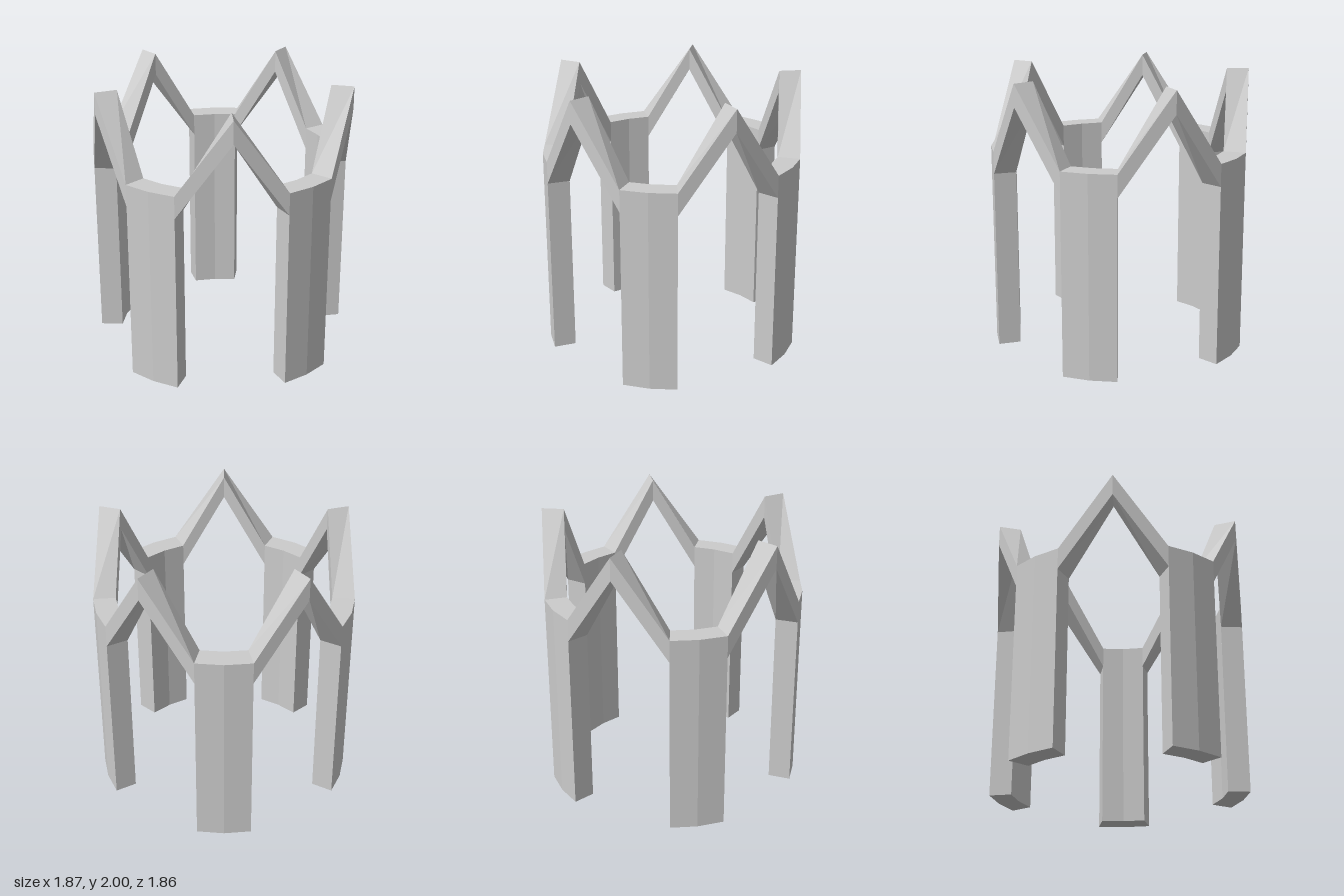
import * as THREE from 'three';

const OUTER = 0.934, INNER = 0.774;
const PIER_TOP = 1.46, SPRING = 1.3, PEAK_TOP = 2, PEAK_BOTTOM = 1.84;
const STEP = Math.PI / 15; // 12 degrees
const COUNT = 5;

// Four corners of a radial section: outer bottom, outer top, inner top, inner bottom
function section(angle, bottom, top) {
  return [[OUTER, bottom], [OUTER, top], [INNER, top], [INNER, bottom]]
    .map(([r, y]) => [r * Math.cos(angle), y, r * Math.sin(angle)]);
}

// Joins radial sections into a faceted band; caps are optional sections closing the ends
function band(sections, startCap, endCap) {
  const pos = [];
  const quad = (a, b, c, d) => pos.push(...a, ...b, ...c, ...a, ...c, ...d);
  for (let i = 0; i < sections.length - 1; i++) {
    const A = sections[i], B = sections[i + 1];
    for (let k = 0; k < 4; k++) {
      const n = (k + 1) % 4;
      quad(A[k], A[n], B[n], B[k]);
    }
  }
  if (startCap) quad(startCap[0], startCap[3], startCap[2], startCap[1]);
  if (endCap) quad(...endCap);
  const geo = new THREE.BufferGeometry();
  geo.setAttribute('position', new THREE.Float32BufferAttribute(pos, 3));
  geo.computeVertexNormals();
  return geo;
}

export function createModel() {
  const group = new THREE.Group();
  group.name = 'pointedArcadeRing';
  const material = new THREE.MeshStandardMaterial({ color: 0xcccccc, flatShading: true });

  // Curved pier; its side walls stop where the arches spring
  const pierGeo = band(
    [-1, 0, 1].map(i => section(i * STEP, 0, PIER_TOP)),
    section(-STEP, 0, SPRING),
    section(STEP, 0, SPRING)
  );
  // Pointed arch spanning the gap to the next pier
  const archGeo = band([
    section(STEP, SPRING, PIER_TOP),
    section(3 * STEP, PEAK_BOTTOM, PEAK_TOP),
    section(5 * STEP, SPRING, PIER_TOP),
  ]);

  for (let i = 0; i < COUNT; i++) {
    for (const [name, geo] of [['pier', pierGeo], ['pointedArch', archGeo]]) {
      const mesh = new THREE.Mesh(geo, material);
      mesh.name = name + (i + 1);
      mesh.rotation.y = -i * 2 * Math.PI / COUNT;
      group.add(mesh);
    }
  }
  return group;
}
